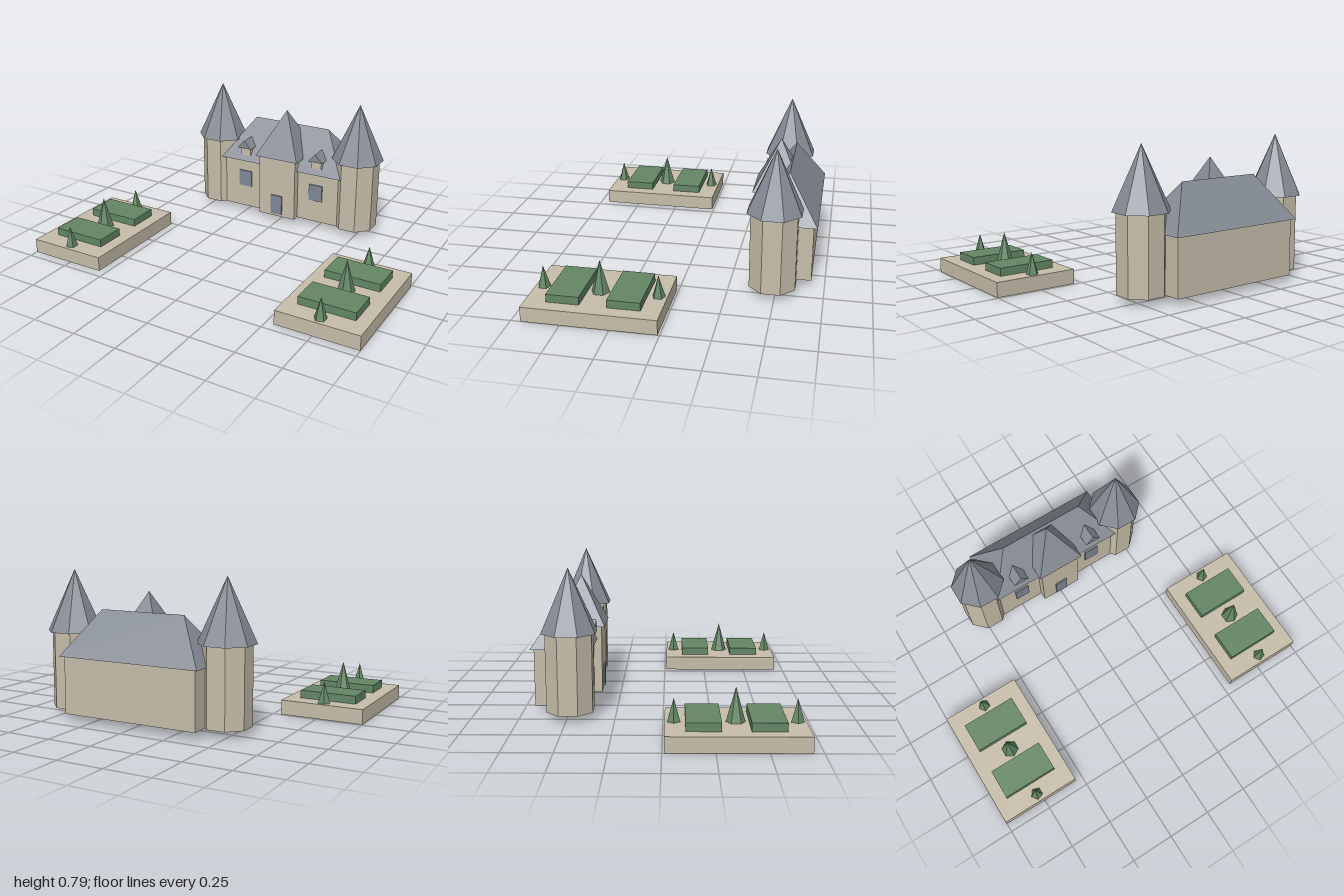
import * as THREE from 'three';
import { ConvexGeometry } from 'three/addons/geometries/ConvexGeometry.js';

function makeMaterial(name, color) {
  const m = new THREE.MeshStandardMaterial({ color });
  m.name = name;
  return m;
}

// Faceted normals for low-poly shapes
function faceted(geometry) {
  const g = geometry.index ? geometry.toNonIndexed() : geometry;
  g.computeVertexNormals();
  return g;
}

export function createModel() {
  const stone = makeMaterial('stone', 0xc6bda8);
  const slate = makeMaterial('slate', 0x858b95);
  const glass = makeMaterial('glass', 0x7f8897);
  const green = makeMaterial('green', 0x628764);

  const model = new THREE.Group();
  model.name = 'castleWithGardens';

  function add(parent, name, geometry, material) {
    const mesh = new THREE.Mesh(geometry, material);
    mesh.name = name;
    parent.add(mesh);
    return mesh;
  }

  // Box given by its extents on each axis
  function box(parent, name, material, [x0, x1], [y0, y1], [z0, z1]) {
    const mesh = add(parent, name, new THREE.BoxGeometry(x1 - x0, y1 - y0, z1 - z0), material);
    mesh.position.set((x0 + x1) / 2, (y0 + y1) / 2, (z0 + z1) / 2);
    return mesh;
  }

  // Upright prism or cone with the given corner radii, number of sides and first corner angle
  function prism(parent, name, material, [x, z], [y0, y1], rTop, rBottom, sides, start) {
    const g = rTop === 0
      ? new THREE.ConeGeometry(rBottom, y1 - y0, sides, 1, false, start)
      : new THREE.CylinderGeometry(rTop, rBottom, y1 - y0, sides, 1, false, start);
    const mesh = add(parent, name, faceted(g), material);
    mesh.position.set(x, (y0 + y1) / 2, z);
    return mesh;
  }

  const castle = new THREE.Group();
  castle.name = 'castle';
  model.add(castle);

  // Main hall with its hipped roof
  box(castle, 'hallWalls', stone, [-0.39, 0.39], [0.04, 0.35], [-0.68, -0.39]);
  const eave = [[-0.41, -0.7], [0.41, -0.7], [0.41, -0.37], [-0.41, -0.37]];
  const roofPoints = eave.map(([x, z]) => new THREE.Vector3(x, 0.348, z));
  for (const x of [-0.247, 0.247]) roofPoints.push(new THREE.Vector3(x, 0.588, -0.535));
  add(castle, 'hallRoof', new ConvexGeometry(roofPoints), slate);

  // Central entrance bay with its pyramid roof and door
  box(castle, 'bayWalls', stone, [-0.12, 0.12], [0.04, 0.417], [-0.585, -0.345]);
  prism(castle, 'bayRoof', slate, [0, -0.465], [0.417, 0.69], 0, 0.139 * Math.SQRT2, 4, Math.PI / 4);
  box(castle, 'door', glass, [-0.037, 0.037], [0.055, 0.177], [-0.346, -0.337]);

  const gable = new THREE.Shape([
    new THREE.Vector2(-0.046, 0), new THREE.Vector2(0.046, 0), new THREE.Vector2(0, 0.05),
  ]);

  for (const side of [-1, 1]) {
    const label = side > 0 ? 'left' : 'right';

    // Octagonal corner tower
    const corner = 1 / Math.cos(Math.PI / 8);
    const at = [side * 0.461, -0.483];
    prism(castle, label + 'TowerWalls', stone, at, [0.04, 0.455], 0.12 * corner, 0.12 * corner, 8, Math.PI / 8);
    prism(castle, label + 'TowerRoof', slate, at, [0.455, 0.788], 0, 0.14 * corner, 8, Math.PI / 8);

    // Window and dormer
    const x = side * 0.241;
    box(castle, label + 'Window', glass, [x - 0.043, x + 0.043], [0.177, 0.278], [-0.391, -0.382]);
    box(castle, label + 'DormerWalls', stone, [x - 0.033, x + 0.033], [0.383, 0.434], [-0.48, -0.384]);
    const dormerRoof = add(castle, label + 'DormerRoof',
      new THREE.ExtrudeGeometry(gable, { depth: 0.116, bevelEnabled: false }), slate);
    dormerRoof.position.set(x, 0.432, -0.48);

    // Garden terrace with two hedges and three trees
    const garden = new THREE.Group();
    garden.name = label + 'Garden';
    garden.position.x = side * 0.772;
    model.add(garden);
    box(garden, 'terrace', stone, [-0.228, 0.228], [0, 0.08], [0.01, 0.7]);
    for (const z of [0.195, 0.505]) {
      box(garden, 'hedge', green, [-0.156, 0.156], [0.08, 0.123], [z - 0.085, z + 0.085]);
    }
    prism(garden, 'tallTree', green, [0, 0.355], [0.08, 0.255], 0, 0.048, 6, 0);
    for (const z of [0.055, 0.655]) {
      prism(garden, 'smallTree', green, [0, z], [0.08, 0.197], 0, 0.034, 5, -Math.PI / 2);
    }
  }

  return model;
}
